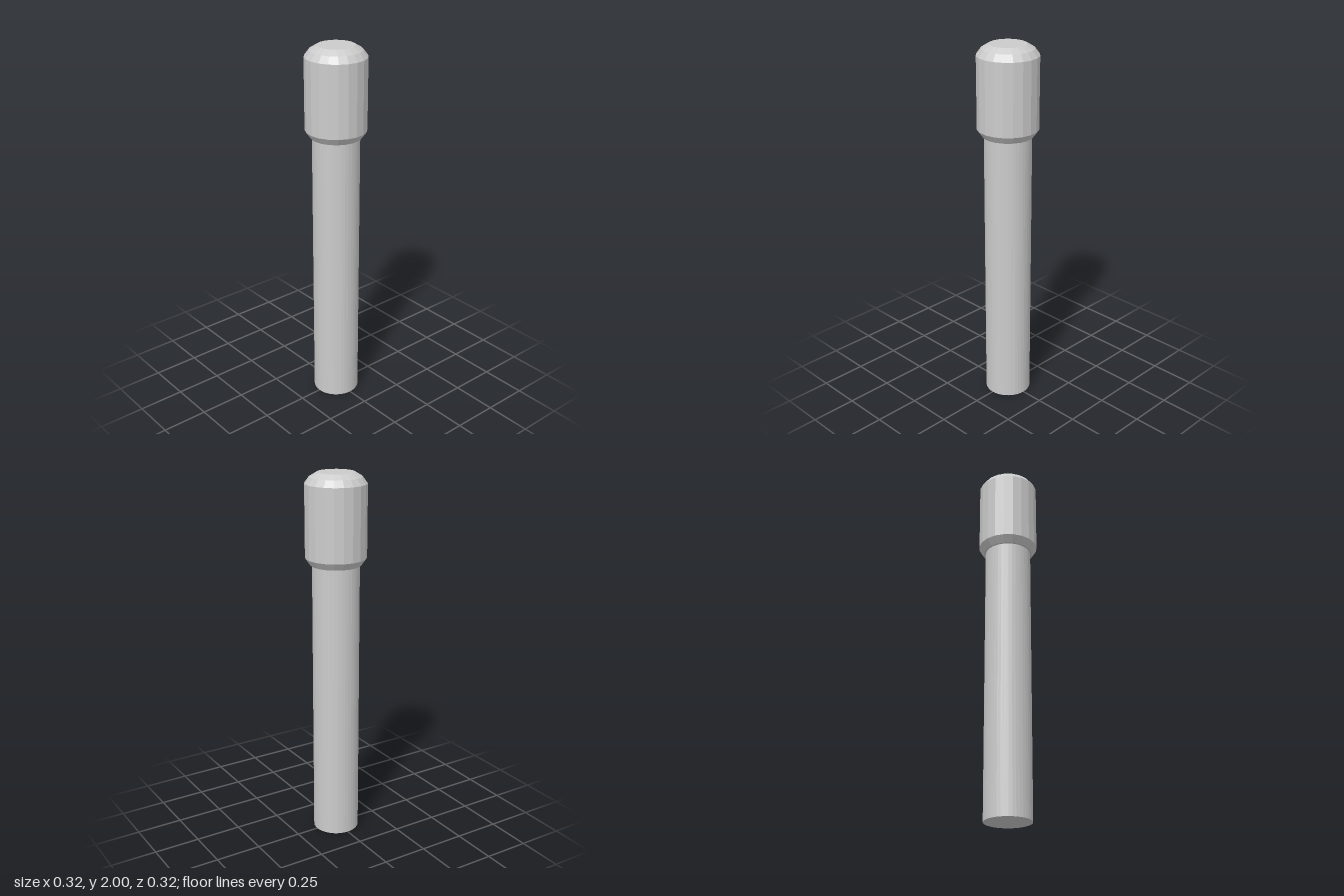
import * as THREE from 'three';

export function createModel() {
  const model = new THREE.Group();
  const material = new THREE.MeshStandardMaterial({ color: 0xcccccc, flatShading: true });

  const add = (name, geometry) => {
    const mesh = new THREE.Mesh(geometry, material);
    mesh.name = name;
    model.add(mesh);
    return mesh;
  };

  // Long round shaft, running a little way into the head
  add('shaft', new THREE.CylinderGeometry(0.125, 0.125, 1.56, 40)).position.y = 0.78;

  // Faceted head with a chamfered underside and a two-step rounded top
  const profile = [
    [0, 1.522], [0.135, 1.522], [0.162, 1.56],
    [0.162, 1.943], [0.137, 1.977], [0.098, 2], [0, 2],
  ].map(([r, y]) => new THREE.Vector2(r, y));
  add('head', new THREE.LatheGeometry(profile, 20));

  return model;
}
